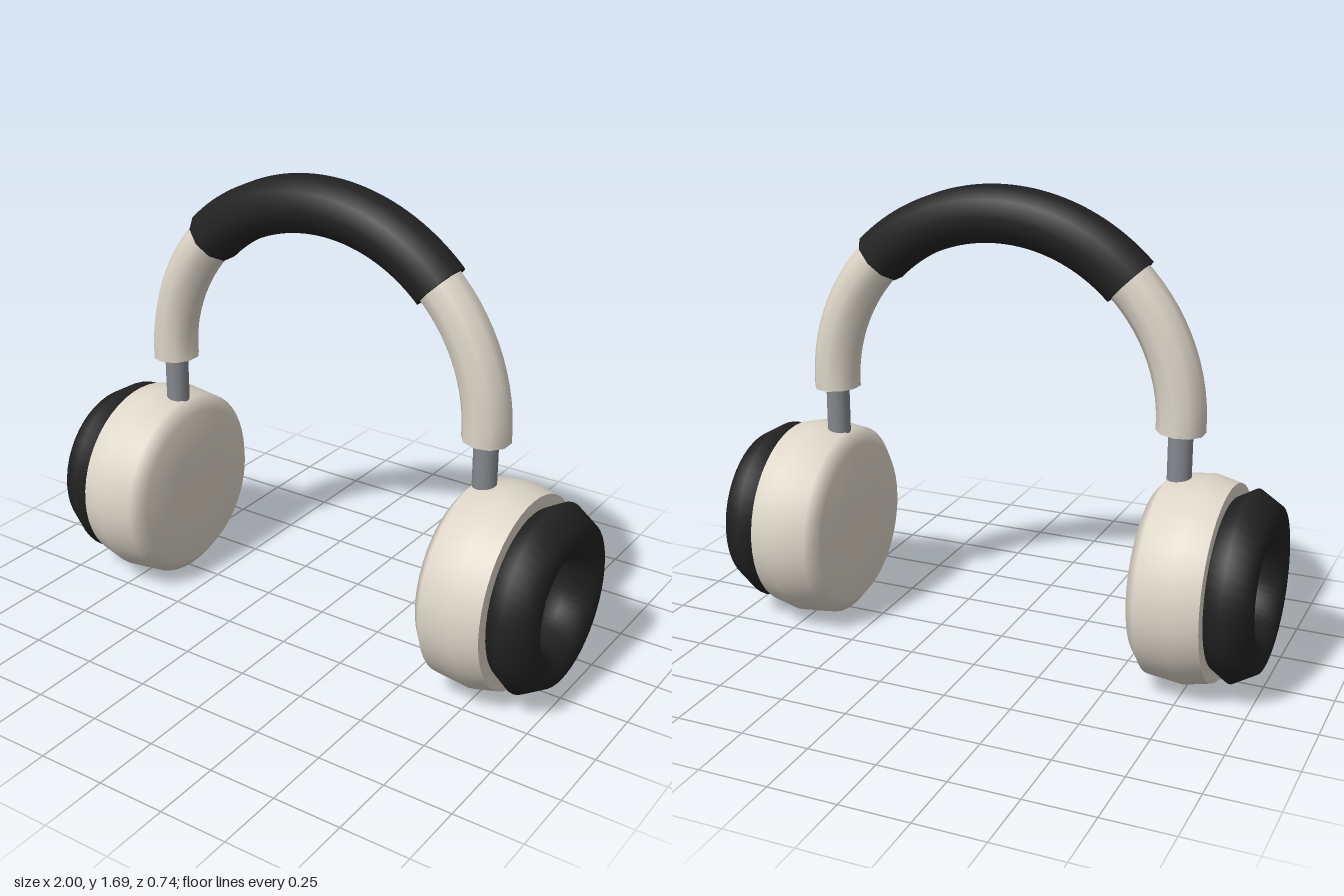
import * as THREE from 'three';

const material = (name, color) => {
  const m = new THREE.MeshStandardMaterial({ color });
  m.name = name;
  return m;
};

// Circular arc of the headband in the xy plane
class BandArc extends THREE.Curve {
  constructor(start, end) {
    super();
    this.start = start;
    this.end = end;
  }
  getPoint(t, target = new THREE.Vector3()) {
    const a = THREE.MathUtils.degToRad(THREE.MathUtils.lerp(this.start, this.end, t));
    return target.set(0.665 * Math.cos(a), 0.932 + 0.665 * Math.sin(a), 0);
  }
}

export function createModel() {
  const cream = material('cream shell', 0xddd6c8);
  const black = material('black padding', 0x222222);
  const grey = material('grey metal', 0x85888e);

  const model = new THREE.Group();
  model.name = 'headphones';

  const add = (parent, name, geometry, mat) => {
    const mesh = new THREE.Mesh(geometry, mat);
    mesh.name = name;
    parent.add(mesh);
    return mesh;
  };

  // Ten-sided tube along the arc, closed with a flat cap at each end
  const addArc = (name, start, end, radius, mat) => {
    const group = new THREE.Group();
    group.name = name;
    model.add(group);
    const curve = new BandArc(start, end);
    add(group, name + 'Tube', new THREE.TubeGeometry(curve, 48, radius, 10), mat);
    for (const t of [0, 1]) {
      const cap = add(group, name + 'End', new THREE.CircleGeometry(radius, 10, Math.PI / 2), mat);
      const outward = curve.getTangent(t).multiplyScalar(t ? 1 : -1);
      cap.position.copy(curve.getPoint(t));
      cap.up.set(0, 0, 1);
      cap.lookAt(cap.position.clone().add(outward));
    }
  };
  addArc('headband', -2.6, 182.6, 0.086, cream);
  addArc('headCushion', 45, 135, 0.102, black);

  // Ear cup profile: radius, distance from the middle
  const profile = [
    [0, 0.579], [0.16, 0.58], [0.305, 0.586], [0.357, 0.628], [0.371, 0.76], [0.35, 0.853],
  ].map(([r, x]) => new THREE.Vector2(r, x));

  // Stem, cup and pad on each side
  for (const side of ['left', 'right']) {
    const ear = new THREE.Group();
    ear.name = side + 'Ear';
    ear.rotation.y = side === 'left' ? 0 : Math.PI;
    model.add(ear);

    add(ear, 'stem', new THREE.CylinderGeometry(0.043, 0.043, 0.34, 16), grey)
      .position.set(0.665, 0.79, 0);

    const cup = add(ear, 'earCup', new THREE.LatheGeometry(profile, 48), cream);
    cup.rotation.z = -Math.PI / 2;
    cup.position.y = 0.373;

    const face = add(ear, 'cupFace', new THREE.CircleGeometry(0.35, 48), cream);
    face.rotation.y = Math.PI / 2;
    face.position.set(0.853, 0.373, 0);

    const pad = add(ear, 'earPad', new THREE.TorusGeometry(0.245, 0.095, 6, 48), black);
    pad.rotation.y = Math.PI / 2;
    pad.position.set(0.918, 0.373, 0);
  }
  return model;
}
